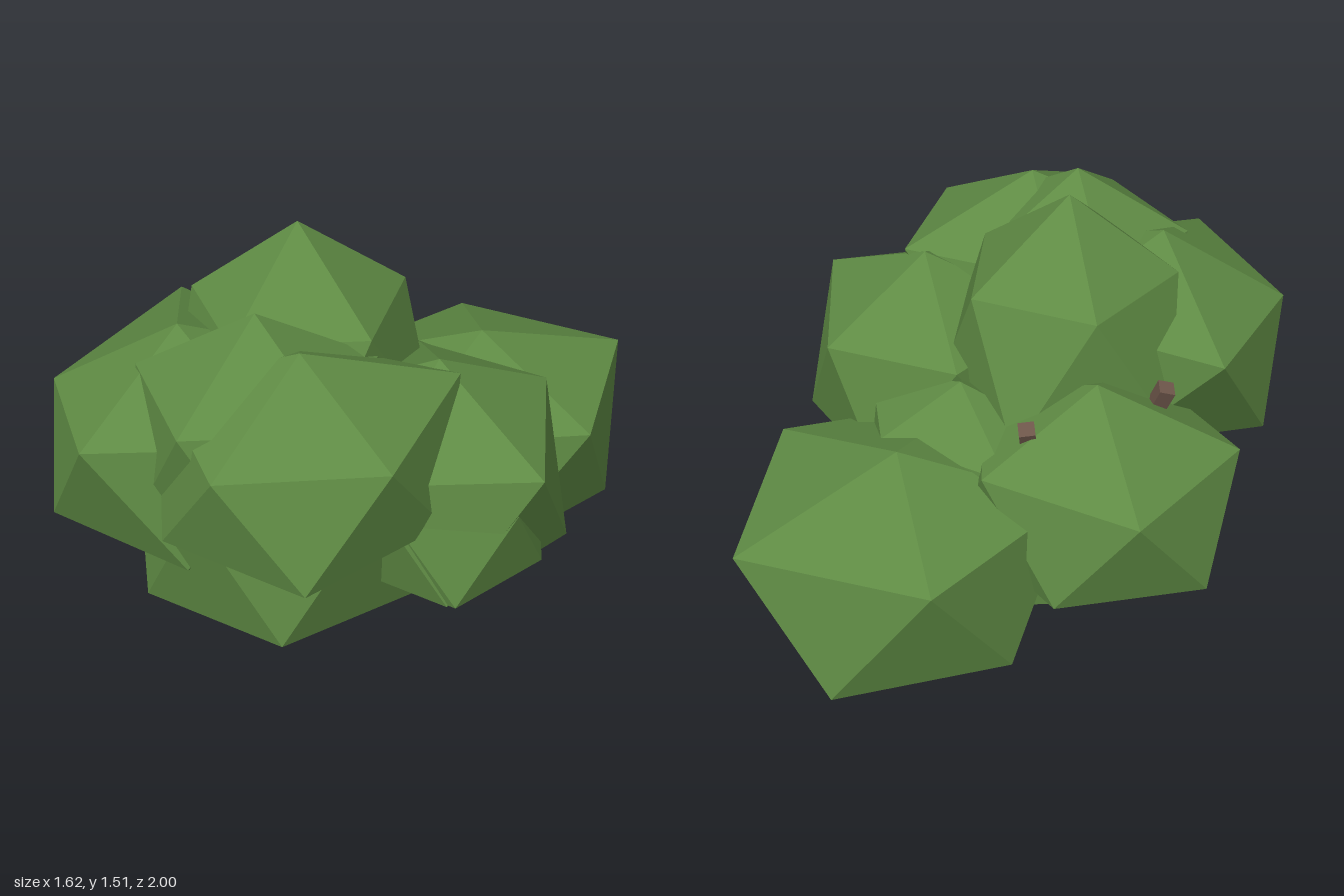
import * as THREE from 'three';
import { ConvexGeometry } from 'three/addons/geometries/ConvexGeometry.js';

const leafGreen = new THREE.MeshStandardMaterial({ name: 'leafGreen', color: 0x5f8b44, flatShading: true });
const barkBrown = new THREE.MeshStandardMaterial({ name: 'barkBrown', color: 0x6d564a, flatShading: true });

// Faceted clump: two poles and two staggered rings of five corners.
// size holds the radii; nudge moves single ring corners (even = upper ring).
function leafClump({ name, at, size: [rx, ry, rz], ring = ry * 0.45, low = 1, nudge = {} }) {
  const points = [];
  for (let i = 0; i < 10; i++) {
    const a = (i * Math.PI) / 5;
    const upper = i % 2 === 0;
    const s = upper ? 1 : low;
    points.push(new THREE.Vector3(Math.cos(a) * rx * s, upper ? ring : -ring, Math.sin(a) * rz * s));
  }
  for (const [i, d] of Object.entries(nudge)) points[i].add(new THREE.Vector3(...d));
  points.push(new THREE.Vector3(0, ry, 0), new THREE.Vector3(0, -ry, 0));
  const mesh = new THREE.Mesh(new ConvexGeometry(points), leafGreen);
  mesh.name = name;
  mesh.position.set(...at);
  return mesh;
}

// Straight square stem between two points
function stem(name, from, to) {
  const dir = to.clone().sub(from);
  const mesh = new THREE.Mesh(new THREE.CylinderGeometry(0.034, 0.028, dir.length(), 4), barkBrown);
  mesh.name = name;
  mesh.position.copy(from).addScaledVector(dir, 0.5);
  mesh.quaternion.setFromUnitVectors(new THREE.Vector3(0, 1, 0), dir.normalize());
  return mesh;
}

export function createModel() {
  const tree = new THREE.Group();
  tree.name = 'tree';

  // Foliage
  const foliage = new THREE.Group();
  foliage.name = 'foliage';
  const clumps = [
    { name: 'backClump', at: [-0.01, 0.565, -0.49], size: [0.5, 0.365, 0.535], ring: 0.208, low: 0.88,
      nudge: { 6: [0.02, 0, 0.04] } },
    { name: 'frontRightClump', at: [-0.17, 0.9, 0.57], size: [0.47, 0.37, 0.45], ring: 0.185, low: 0.92,
      nudge: { 4: [0.07, -0.045, -0.015], 6: [-0.07, 0.015, -0.04] } },
    { name: 'rightClump', at: [-0.38, 0.72, -0.03], size: [0.43, 0.37, 0.42],
      nudge: { 7: [-0.01, 0, 0.04], 8: [0, 0, 0.04] } },
    { name: 'topClump', at: [-0.08, 1.06, 0.2], size: [0.33, 0.45, 0.34], low: 1.25,
      nudge: { 9: [-0.05, 0, -0.04] } },
    { name: 'frontUpperClump', at: [0.13, 1.03, 0.51], size: [0.36, 0.38, 0.36] },
    { name: 'frontLeftClump', at: [0.3, 1.01, 0.49], size: [0.38, 0.345, 0.4], low: 1.04,
      nudge: { 4: [-0.03, 0.03, 0], 8: [0.04, 0.03, -0.06] } },
    { name: 'lowerFrontClump', at: [0.11, 0.73, 0.46], size: [0.45, 0.49, 0.39],
      nudge: { 1: [-0.03, 0.03, 0], 5: [-0.02, -0.03, 0] } },
    { name: 'leftClump', at: [0.38, 0.83, 0.06], size: [0.43, 0.38, 0.41], ring: 0.19,
      nudge: { 1: [-0.03, 0, 0], 8: [-0.08, 0, 0], 9: [-0.05, 0, -0.02] } },
    { name: 'leftLowerClump', at: [0.48, 0.78, 0.12], size: [0.3, 0.34, 0.29], ring: 0.135 },
    { name: 'innerBackClump', at: [0.01, 0.61, -0.19], size: [0.38, 0.4, 0.24], ring: 0.26, low: 1.05 },
  ];
  for (const c of clumps) foliage.add(leafClump(c));
  tree.add(foliage);

  // Stems fanning out from one root
  const stems = new THREE.Group();
  stems.name = 'stems';
  const root = new THREE.Vector3(-0.08, 0.009, 0.13);
  const tips = [
    [-0.5, 1.04, 0.15],
    [-0.285, 1.0, -0.235],
    [0.07, 0.945, -0.27],
    [0.16, 0.95, 0.17],
    [-0.2, 1.0, 0.46],
  ];
  tips.forEach((t, i) => stems.add(stem(`stem${i + 1}`, root, new THREE.Vector3(...t))));
  tree.add(stems);

  return tree;
}
